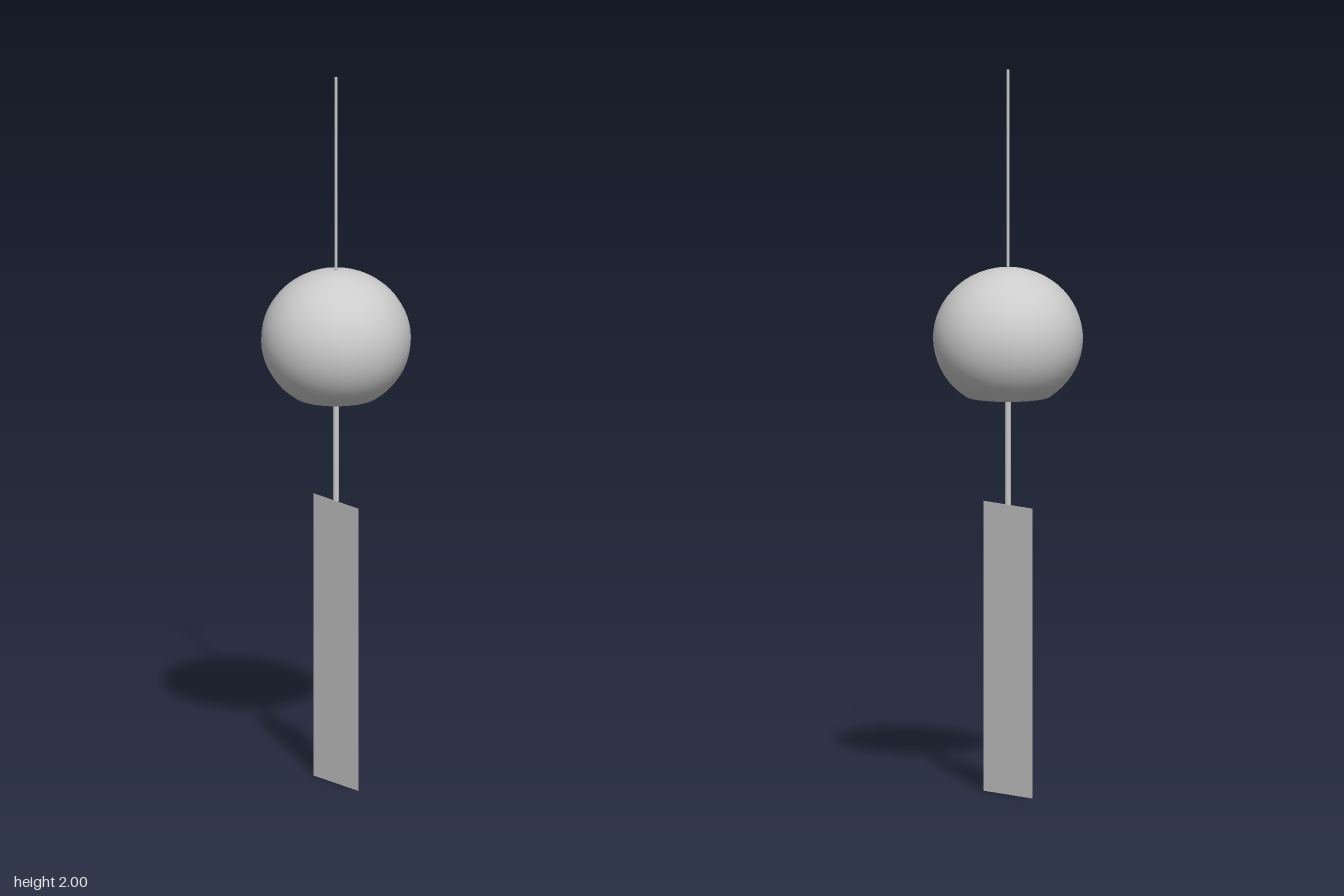
import * as THREE from 'three';

export function createModel() {
  const group = new THREE.Group();
  const grey = new THREE.MeshStandardMaterial({ color: 0xcccccc, side: THREE.DoubleSide });
  grey.name = 'light grey';

  const add = (name, geometry, y) => {
    const mesh = new THREE.Mesh(geometry, grey);
    mesh.name = name;
    mesh.position.y = y;
    group.add(mesh);
  };

  // Hollow bell: slightly flattened sphere, cut open at the bottom
  const wall = (a, b, steps = 24) => {
    const end = Math.acos(-0.16 / b);
    return Array.from({ length: steps + 1 }, (_, i) => {
      const t = (end * i) / steps;
      return new THREE.Vector2(a * Math.sin(t), b * Math.cos(t));
    });
  };
  const outer = wall(0.205, 0.194);
  const inner = wall(0.195, 0.184).reverse();
  const rim = [outer.at(-1).clone(), inner[0].clone()];
  // Lathe profiles run upward for outward-facing walls
  add('bellOuter', new THREE.LatheGeometry(outer.reverse(), 32), 1.26);
  add('bellInner', new THREE.LatheGeometry(inner.reverse(), 32), 1.26);
  add('bellRim', new THREE.LatheGeometry(rim.reverse(), 32), 1.26);

  // Hanging string above, thicker cord below
  add('hangingString', new THREE.CylinderGeometry(0.004, 0.004, 0.56, 8), 1.72);
  add('lowerCord', new THREE.CylinderGeometry(0.008, 0.008, 0.6, 8), 1.1);

  // Paper strip that catches the wind
  add('paperStrip', new THREE.PlaneGeometry(0.2, 0.8), 0.4);

  return group;
}
